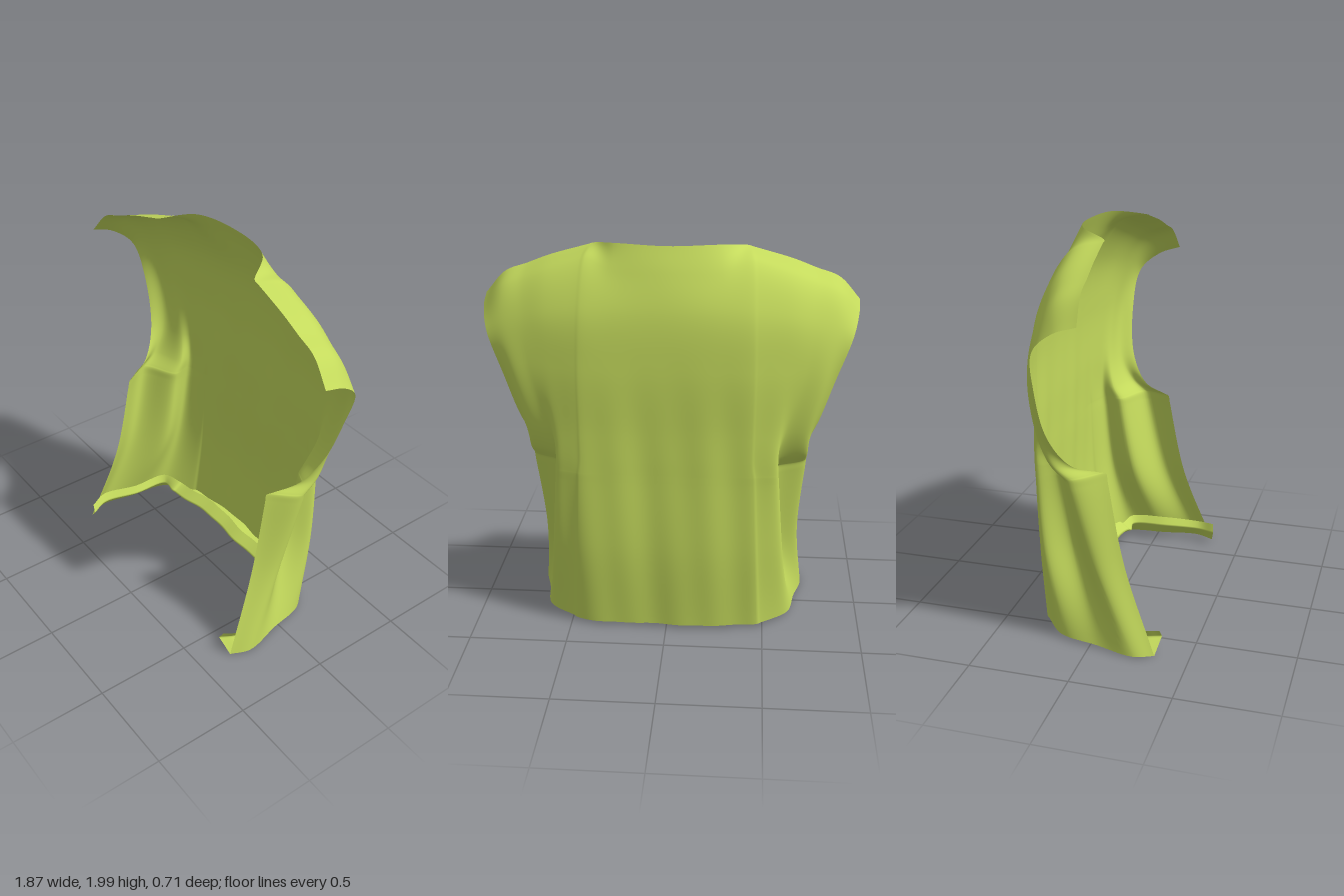
import * as THREE from 'three';

const { smoothstep, clamp } = THREE.MathUtils;
const V = (x, y, z) => new THREE.Vector3(x, y, z);

// Side profile of the back as [y, z], from neck to hem
const BACK = [[2, -.195], [1.88, -.25], [1.69, -.31], [1.42, -.335], [1.1, -.338], [.95, -.341], [.88, -.342], [.45, -.35], [.03, -.325]];

// Outer columns as [x, y, z], from shoulder to hem
const SHOULDER = [[.38, 1.97, 0], [.4, 1.925, -.15], [.41, 1.71, -.285], [.42, 1.42, -.33], [.42, 1.1, -.335], [.42, .95, -.337], [.43, .88, -.337], [.45, .45, -.33], [.47, .03, -.29]];
const CORNER = [[.6, 1.905, .015], [.6, 1.855, -.14], [.6, 1.68, -.25], [.575, 1.42, -.295], [.55, 1.1, -.305], [.55, .95, -.305], [.555, .88, -.3], [.59, .45, -.255], [.63, .03, -.16]];
const RIDGE = [[.83, 1.815, .03], [.83, 1.76, -.1], [.815, 1.62, -.195], [.765, 1.39, -.25], [.7, 1.1, -.235], [.7, .96, -.17], [.7, .89, -.09], [.675, .45, .03], [.715, .015, .23]];
const EDGE = [[.935, 1.7, .045], [.925, 1.66, -.07], [.895, 1.565, -.175], [.82, 1.36, -.2], [.735, 1.1, -.17], [.67, .955, -.08], [.605, .91, .07], [.625, .45, .165], [.675, .012, .33]];

// Back column at x; lift brings its top forward around the neck opening
function backColumn(x, lift) {
  return BACK.map(([y, z]) => V(x, y, z + lift * clamp((y - 1.5) / .5, 0, 1) ** 2));
}

// Columns from the centre outward, with a deep fold between corner and ridge
const [shoulder, corner, ridge, edge] = [SHOULDER, CORNER, RIDGE, EDGE].map(c => c.map(p => V(...p)));
const between = (a, b, t) => a.map((p, i) => p.clone().lerp(b[i], t));
const valley = between(corner, ridge, .5);
for (const p of valley) {
  p.x -= .09 * smoothstep(p.y, .05, .4) * (1 - smoothstep(p.y, .85, 1.3));
}
const half = [backColumn(0, 0), backColumn(.26, .055), shoulder,
  between(shoulder, corner, .15), corner, valley, ridge, edge];

// Extra points around the lower armhole tip keep its corner crisp
function crisp(c) {
  const tip = 6;
  return [...c.slice(0, tip), c[tip - 1].clone().lerp(c[tip], .85), c[tip],
    c[tip].clone().lerp(c[tip + 1], .1), ...c.slice(tip + 1)];
}

// Mirrored column curves, ordered from the right edge to the left edge
const flip = c => c.map(p => V(-p.x, p.y, p.z));
const columns = [...half.slice(1).reverse().map(flip), ...half]
  .map(pts => new THREE.CatmullRomCurve3(crisp(pts)));

// Soft hanging wrinkles, strongest over the lower back
function wrinkle(p) {
  const fade = smoothstep(1.6 - p.y, 0, .8) * (1 - smoothstep(Math.abs(p.x), .45, .6));
  p.z += fade * (.006 * Math.sin(p.x * 13 + p.y * .8 - .2) + .003 * Math.sin(p.x * 29 - p.y * 2));
  return p;
}

// Smooth grid surface; rowCurve(v) gives the cross-section at v
function sheet(name, rowCurve, nu, nv, material) {
  const pos = [], index = [];
  for (let j = 0; j <= nv; j++) {
    const curve = rowCurve(j / nv);
    for (let i = 0; i <= nu; i++) {
      const p = wrinkle(curve.getPoint(i / nu));
      pos.push(p.x, p.y, p.z);
      if (i < nu && j < nv) {
        const a = j * (nu + 1) + i, b = a + nu + 1;
        index.push(a, a + 1, b, a + 1, b + 1, b);
      }
    }
  }
  const g = new THREE.BufferGeometry();
  g.setAttribute('position', new THREE.Float32BufferAttribute(pos, 3));
  g.setIndex(index);
  g.computeVertexNormals();
  const mesh = new THREE.Mesh(g, material);
  mesh.name = name;
  return mesh;
}

export function createModel() {
  const group = new THREE.Group();
  group.name = 'vestBack';
  const fabric = new THREE.MeshStandardMaterial({ color: 0xc4da5c, side: THREE.DoubleSide });
  fabric.name = 'limeFabric';

  // Back panel with shoulders and side panels
  const row = v => new THREE.CatmullRomCurve3(columns.map(c => c.getPoint(v)));
  group.add(sheet('backPanel', row, 140, 100, fabric));

  // Hem turned inward and up, with a lip rolling back over it
  const hemRow = v => new THREE.CatmullRomCurve3(columns.map((c, i) => {
    const p = c.getPoint(1);
    const side = smoothstep(Math.abs(p.x), .45, .68);
    const reach = Math.min(v / .65, 1) - Math.max(v - .65, 0);
    p.x -= Math.sign(p.x) * side * .07 * reach;
    p.z += ((1 - side) * .17 + side * .02) * reach;
    p.y += .115 * v + .008 * v * Math.sin(i * 2.3);
    return p;
  }));
  group.add(sheet('foldedHem', hemRow, 140, 20, fabric));

  return group;
}
